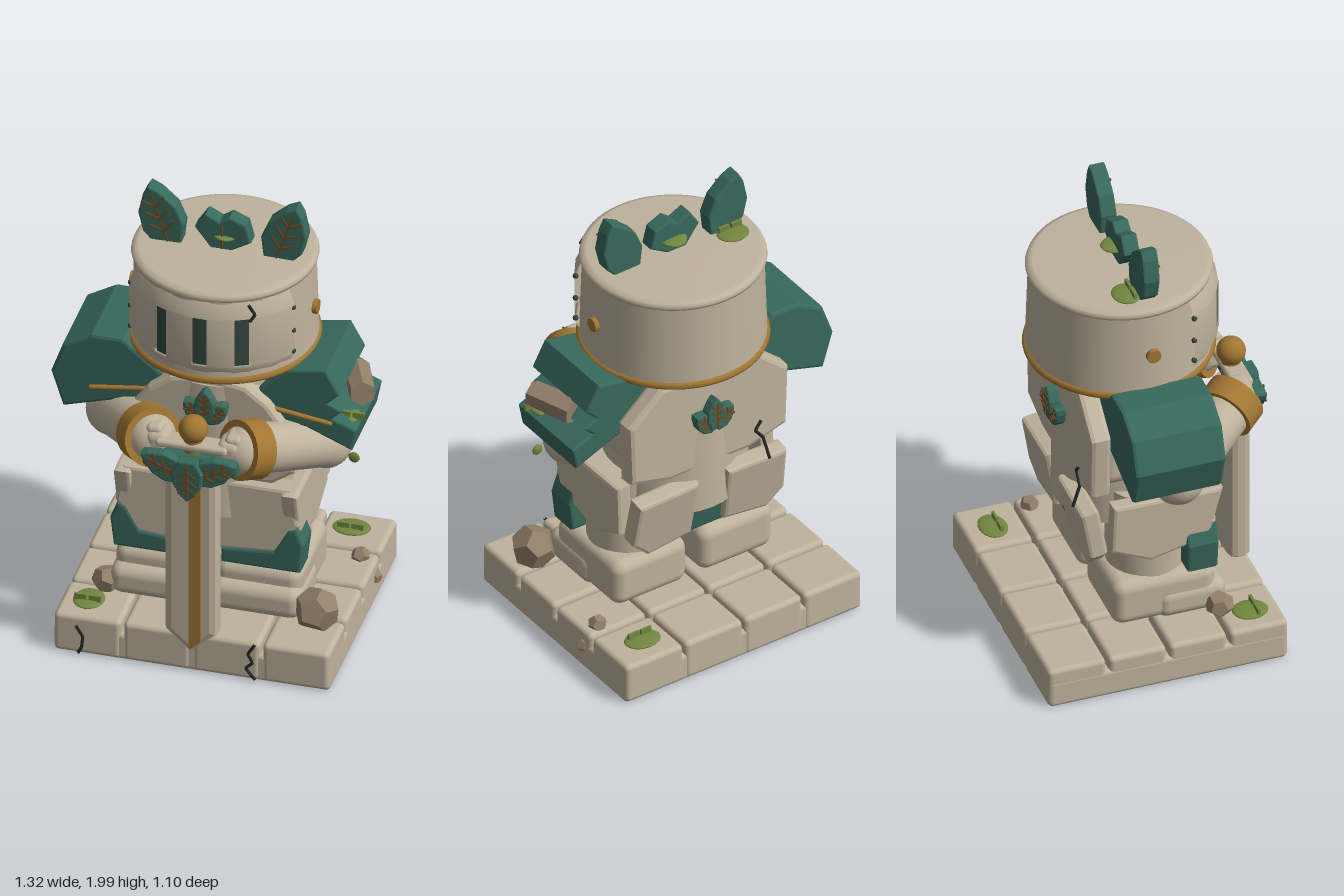
import * as THREE from 'three';
import { RoundedBoxGeometry } from 'three/addons/geometries/RoundedBoxGeometry.js';

const material = (name, color, side = THREE.FrontSide) => {
  const m = new THREE.MeshStandardMaterial({ color, side });
  m.name = name;
  return m;
};
const V = (x, y, z) => new THREE.Vector3(x, y, z);

export function createModel() {
  const stone = material('stone', 0xbfb39d, THREE.DoubleSide);
  const teal = material('teal', 0x38695c);
  const brass = material('brass', 0xa27633, THREE.DoubleSide);
  const moss = material('moss', 0x72873f);
  const rubble = material('rubble', 0x93806a);
  rubble.flatShading = true;
  const dark = material('slit', 0x33483f, THREE.DoubleSide);
  const crackMat = material('crack', 0x252a28);
  const vein = material('vein', 0x74491f);

  const root = new THREE.Group();
  root.name = 'stoneKnight';
  const body = new THREE.Group();
  body.name = 'statue';
  body.position.x = 0.01;
  root.add(body);

  const add = (name, geo, mat, x = 0, y = 0, z = 0, parent = body) => {
    const m = new THREE.Mesh(geo, mat);
    m.name = name;
    m.position.set(x, y, z);
    parent.add(m);
    return m;
  };
  const rbox = (name, w, h, d, mat, x, y, z, r = 0.03) =>
    add(name, new RoundedBoxGeometry(w, h, d, 3, r), mat, x, y, z);
  // bevelled plate from an outline, running from z0 to z1
  const plate = (name, pts, z0, z1, mat, bevel = 0.015, parent = body) => {
    const shape = new THREE.Shape(pts.map(p => new THREE.Vector2(p[0], p[1])));
    const geo = new THREE.ExtrudeGeometry(shape, {
      depth: z1 - z0 - 2 * bevel, bevelThickness: bevel, bevelSize: bevel,
      bevelOffset: -bevel, bevelSegments: 2, curveSegments: 1,
    });
    geo.translate(0, 0, z0 + bevel);
    return add(name, geo, mat, 0, 0, 0, parent);
  };
  const mirrorPts = (pts, s) => pts.map(p => [p[0] * s, p[1]]);
  // limb between two points
  const limb = (name, a, b, r, mat, capped = true) => {
    const d = b.clone().sub(a), len = d.length();
    const geo = capped ? new THREE.CapsuleGeometry(r, len, 8, 24) : new THREE.CylinderGeometry(r, r, len, 28);
    const m = add(name, geo, mat);
    m.position.copy(a).addScaledVector(d, 0.5);
    m.quaternion.setFromUnitVectors(V(0, 1, 0), d.normalize());
    return m;
  };
  const crack = (...pts) => {
    const path = new THREE.CurvePath();
    for (let i = 1; i < pts.length; i++) path.add(new THREE.LineCurve3(V(...pts[i - 1]), V(...pts[i])));
    return add('crack', new THREE.TubeGeometry(path, 24, 0.007, 5), crackMat);
  };
  // veined leaf growing up from its base
  const leaf = (name, w, h, depth, x, y, z, angle, parent = body) => {
    const g = new THREE.Group();
    g.name = name;
    g.position.set(x, y, z);
    g.rotation.z = angle;
    parent.add(g);
    const half = [[0.28, 0], [0.5, 0.3], [0.46, 0.6], [0.2, 0.88]].map(p => [p[0] * w, p[1] * h]);
    plate('leafBlade', [...half, [0, h], ...mirrorPts(half, -1).reverse()], -depth / 2, depth / 2, teal, 0.008, g);
    const line = (len, px, py, rot) => {
      add('leafVein', new THREE.BoxGeometry(0.008, len, 0.008), vein, px, py, depth / 2, g).rotation.z = rot;
    };
    line(h * 0.8, 0, h * 0.48, 0);
    for (const t of [0.25, 0.45, 0.65]) for (const s of [-1, 1])
      line(w * 0.36, s * w * 0.14, h * (t + 0.07), -s * 0.9);
    return g;
  };
  const mossPatch = (x, y, z, rx, rz) => {
    add('mossPatch', new THREE.SphereGeometry(1, 20, 10), moss, x, y, z).scale.set(rx, 0.012, rz);
    for (const s of [-1, 1]) add('mossSprig', new THREE.BoxGeometry(0.05, 0.03, 0.012), moss, x + s * 0.03, y + 0.018, z + 0.02);
  };
  const rock = (name, r, x, y, z, rot) =>
    add(name, new THREE.DodecahedronGeometry(r), rubble, x, y, z).rotation.set(rot, rot * 0.7, rot * 0.4);

  // paved base
  rbox('baseSlab', 1.155, 0.125, 1.02, stone, 0.002, 0.0725, -0.035, 0.02);
  for (let i = 0; i < 4; i++) for (let j = 0; j < 4; j++)
    rbox('baseBlock', 0.28, 0.18, j % 3 ? 0.245 : 0.25, stone, -0.434 + i * 0.291, 0.103, -0.425 + j * 0.26, 0.022);

  // feet, legs and hips
  for (const s of [-1, 1]) {
    rbox('foot', 0.36, 0.21, 0.44, stone, s * 0.21, 0.295, 0.02, 0.05);
    rbox('toe', 0.38, 0.14, 0.3, stone, s * 0.21, 0.255, 0.135, 0.05);
    add('leg', new THREE.CylinderGeometry(0.165, 0.165, 0.42, 28), stone, s * 0.2, 0.57, 0);
  }
  add('waist', new THREE.CylinderGeometry(0.27, 0.29, 0.62, 32), stone, 0, 0.93, -0.03);

  // hip plates: front, sides and back, with cloth between
  for (const s of [-1, 1]) {
    plate('frontHipPlate', mirrorPts([[0.02, 0.79], [0.35, 0.79], [0.385, 0.62], [0.29, 0.48], [0.02, 0.46]], s), 0.14, 0.24, stone).rotation.x = 0;
    plate('frontCloth', mirrorPts([[0.06, 0.4], [0.39, 0.4], [0.405, 0.53], [0.375, 0.61], [0.34, 0.6], [0.28, 0.49], [0.06, 0.47]], s), 0.11, 0.245, teal, 0.012);
    const side = plate('sideHipPlate', [[-0.27, 0.78], [0.2, 0.79], [0.21, 0.57], [0.04, 0.49], [-0.21, 0.55]], -0.035, 0.035, stone);
    side.rotation.y = Math.PI / 2;
    side.position.x = s * 0.35;
    const back = plate('backHipPlate', mirrorPts([[0.07, 0], [0.36, -0.01], [0.37, -0.22], [0.29, -0.3], [0.08, -0.27]], s), -0.08, 0, stone);
    back.position.set(0, 0.785, -0.255);
    back.rotation.x = -0.17;
  }
  const cloth = plate('backCloth', [[-0.1, 0], [0.1, 0], [0.1, -0.3], [-0.1, -0.3]], -0.05, 0.01, teal);
  cloth.position.set(0, 0.785, -0.255);
  cloth.rotation.x = -0.17;

  // chest and back armour
  const chest = [[0.27, 0.8], [0.37, 0.87], [0.36, 1.03], [0.25, 1.18], [0.16, 1.25]];
  plate('chestPlate', [...chest, [0, 1.28], ...mirrorPts(chest, -1).reverse()], 0.08, 0.23, stone, 0.02);
  const rear = [[0.2, 0.82], [0.38, 0.87], [0.39, 1.15], [0.23, 1.29]];
  plate('backPlate', [...rear, ...mirrorPts(rear, -1).reverse()], -0.3, -0.21, stone, 0.02);
  rbox('torso', 0.6, 0.4, 0.38, stone, 0, 1.03, -0.04, 0.06);
  for (const [z, y, turn] of [[0.25, 1.09, 0], [-0.32, 1.03, Math.PI]]) {
    const emblem = new THREE.Group();
    emblem.name = 'leafEmblem';
    emblem.position.set(0, y, z);
    emblem.rotation.y = turn;
    body.add(emblem);
    for (const a of [-0.85, 0, 0.85]) leaf('emblemLeaf', 0.09, a ? 0.12 : 0.15, 0.05, 0, 0, a ? 0 : 0.01, a, emblem);
  }

  // neck and collar
  add('neck', new THREE.CylinderGeometry(0.18, 0.2, 0.2, 28), teal, 0, 1.25, -0.03);
  const collar = add('collar', new THREE.TorusGeometry(0.19, 0.025, 10, 32), brass, 0, 1.285, -0.01);
  collar.rotation.x = Math.PI / 2;

  // shoulder armour, whole on one side and broken on the other
  plate('rightShoulder', [[-0.67, 1.15], [-0.62, 1.29], [-0.5, 1.36], [-0.37, 1.36], [-0.2, 1.22], [-0.26, 1.1], [-0.62, 0.99]], -0.21, 0.18, teal);
  plate('leftShoulder', [[0.2, 1.22], [0.32, 1.33], [0.48, 1.36], [0.54, 1.25], [0.49, 1.2], [0.55, 1.17], [0.51, 1.13],
    [0.61, 1.09], [0.59, 0.99], [0.4, 1.07], [0.26, 1.1]], -0.21, 0.18, teal, 0.01);
  for (const s of [-1, 1])
    limb('shoulderTrim', V(s * 0.5, 1.11, 0.185), V(s * 0.22, 1.15, 0.185), 0.01, brass);
  const shard = add('shoulderRubble', new THREE.CylinderGeometry(0.055, 0.06, 0.2, 6), rubble, 0.57, 1.2, -0.01);
  shard.rotation.set(1.5, 0, -0.4);

  // arms, cuffs and hands
  for (const s of [-1, 1]) {
    const elbow = V(s * 0.445, 0.93, 0.05), wrist = V(s * 0.2, 1.05, 0.37);
    limb('upperArm', V(s * 0.37, 1.14, -0.02), elbow, 0.11, stone);
    limb('forearm', elbow, wrist, 0.105, stone);
    const along = wrist.clone().sub(elbow).normalize();
    limb('cuff', wrist.clone().addScaledVector(along, -0.06), wrist.clone().addScaledVector(along, 0.04), 0.125, brass, false);
    rbox('hand', 0.1, 0.13, 0.12, stone, s * 0.15, 1.06, 0.41, 0.035);
    rbox('thumb', 0.07, 0.05, 0.1, stone, s * 0.165, 1.12, 0.4, 0.022);
  }

  // sword with leaf guard
  plate('blade', [[-0.11, 0.2], [0, 0.1], [0.11, 0.2], [0.11, 0.98], [-0.11, 0.98]], 0.4, 0.49, stone, 0.03);
  plate('bladeInlay', [[0.005, 0.13], [0.045, 0.17], [0.045, 0.95], [-0.005, 0.95], [-0.005, 0.13]], 0.487, 0.496, brass, 0.001);
  rbox('guard', 0.4, 0.08, 0.07, teal, 0, 1.02, 0.46, 0.015);
  rbox('guardCap', 0.3, 0.035, 0.09, stone, 0, 1.09, 0.44, 0.015);
  add('grip', new THREE.CylinderGeometry(0.04, 0.04, 0.12, 20), brass, 0, 1.08, 0.44);
  add('pommel', new THREE.SphereGeometry(0.06, 24, 16), brass, 0, 1.16, 0.44);
  leaf('guardLeaf', 0.13, 0.19, 0.05, 0, 1.06, 0.52, Math.PI);
  for (const s of [-1, 1]) leaf('guardLeaf', 0.12, 0.2, 0.05, s * 0.02, 0.97, 0.5, -s * 1.13);

  // helmet shell, lid and rim, centred at z = -0.04
  const helm = new THREE.Group();
  helm.name = 'helmet';
  helm.position.z = -0.04;
  body.add(helm);
  const lathe = (name, pts, mat, segs = 56, start = 0, len = Math.PI * 2) =>
    add(name, new THREE.LatheGeometry(pts.map(p => new THREE.Vector2(...p)), segs, start, len), mat, 0, 0, 0, helm);
  lathe('helmetShell', [[0.38, 1.34], [0.368, 1.72]], stone);
  lathe('helmetLid', [[0.36, 1.705], [0.376, 1.712], [0.38, 1.725], [0.374, 1.74], [0.35, 1.75], [0, 1.757]], stone);
  lathe('helmetRim', [[0, 1.325], [0.388, 1.325], [0.392, 1.335], [0.388, 1.352], [0.375, 1.352]], brass);

  // faceted visor: bars alternate with recessed dark slits
  const stops = [-60, -30, -21, -4.5, 4.5, 21, 30, 60];
  for (let i = 0; i < 7; i++) {
    const a = THREE.MathUtils.degToRad(stops[i]), len = THREE.MathUtils.degToRad(stops[i + 1] - stops[i]);
    const seg = i % 6 ? 1 : 2;
    lathe('visorBrow', [[0.383, 1.64], [0.4, 1.64], [0.368, 1.705]], stone, seg, a, len);
    lathe('visorChin', [[0.372, 1.36], [0.4, 1.41], [0.383, 1.41]], stone, seg, a, len);
    if (i % 2) lathe('visorSlit', [[0.385, 1.41], [0.385, 1.64]], dark, 1, a, len);
    else lathe('visorBar', [[0.375, 1.41], [0.4, 1.41], [0.4, 1.64], [0.375, 1.64]], stone, seg, a, len);
  }
  for (const s of [-1, 1]) {
    const rivet = add('sideRivet', new THREE.CylinderGeometry(0.03, 0.03, 0.03, 20), brass, s * 0.378, 1.52, 0.01, helm);
    rivet.rotation.z = Math.PI / 2;
    for (const y of [1.42, 1.52, 1.63]) add('visorRivet', new THREE.SphereGeometry(0.012, 10, 8), dark, s * 0.34, y, 0.2, helm);
  }

  // leaf crest
  for (const s of [-1, 1]) leaf('crestLeaf', 0.18, 0.285, 0.07, s * 0.22, 1.73, -0.025, -s * 0.32);
  plate('crestCentre', [[-0.04, 1.74], [0.02, 1.74], [0.12, 1.8], [0.1, 1.88], [0.03, 1.91], [-0.01, 1.88], [-0.07, 1.91], [-0.115, 1.84]],
    -0.06, 0.01, teal, 0.008);
  limb('crestVein', V(0, 1.76, 0.012), V(0, 1.86, 0.012), 0.004, vein);

  // moss, rubble and cracks
  mossPatch(-0.25, 1.757, -0.1, 0.07, 0.06);
  mossPatch(0.01, 1.81, -0.04, 0.06, 0.075);
  mossPatch(0.42, 0.2, -0.43, 0.08, 0.06);
  mossPatch(-0.46, 0.2, 0.355, 0.065, 0.075);
  mossPatch(0.57, 1.1, 0.09, 0.03, 0.05);
  add('mossTuft', new THREE.SphereGeometry(0.024, 12, 8), moss, 0.575, 0.9, 0.09).scale.z = 0.4;
  rock('largeRock', 0.095, 0.47, 0.26, 0.27, 0.6);
  rock('smallRock', 0.06, -0.42, 0.23, 0.24, 1.1);
  rock('chippedRock', 0.04, 0.51, 0.2, -0.24, 0.3);
  rock('chippedRock', 0.035, 0.57, 0.12, -0.23, 0.9);
  crack([-0.48, 0.15, 0.483], [-0.45, 0.1, 0.483], [-0.455, 0.05, 0.483], [-0.47, 0.02, 0.483]);
  crack([0.27, 0.19, 0.483], [0.24, 0.14, 0.483], [0.26, 0.1, 0.483], [0.23, 0.07, 0.483], [0.27, 0.02, 0.483]);
  crack([0.19, 1.7, 0.295], [0.22, 1.66, 0.3], [0.2, 1.63, 0.31]);
  crack([0.23, 0.87, 0.23], [0.2, 0.84, 0.23], [0.16, 0.81, 0.23]);
  crack([-0.25, 0.94, -0.302], [-0.22, 0.9, -0.302], [-0.26, 0.85, -0.302], [-0.27, 0.76, -0.335]);
  return root;
}
